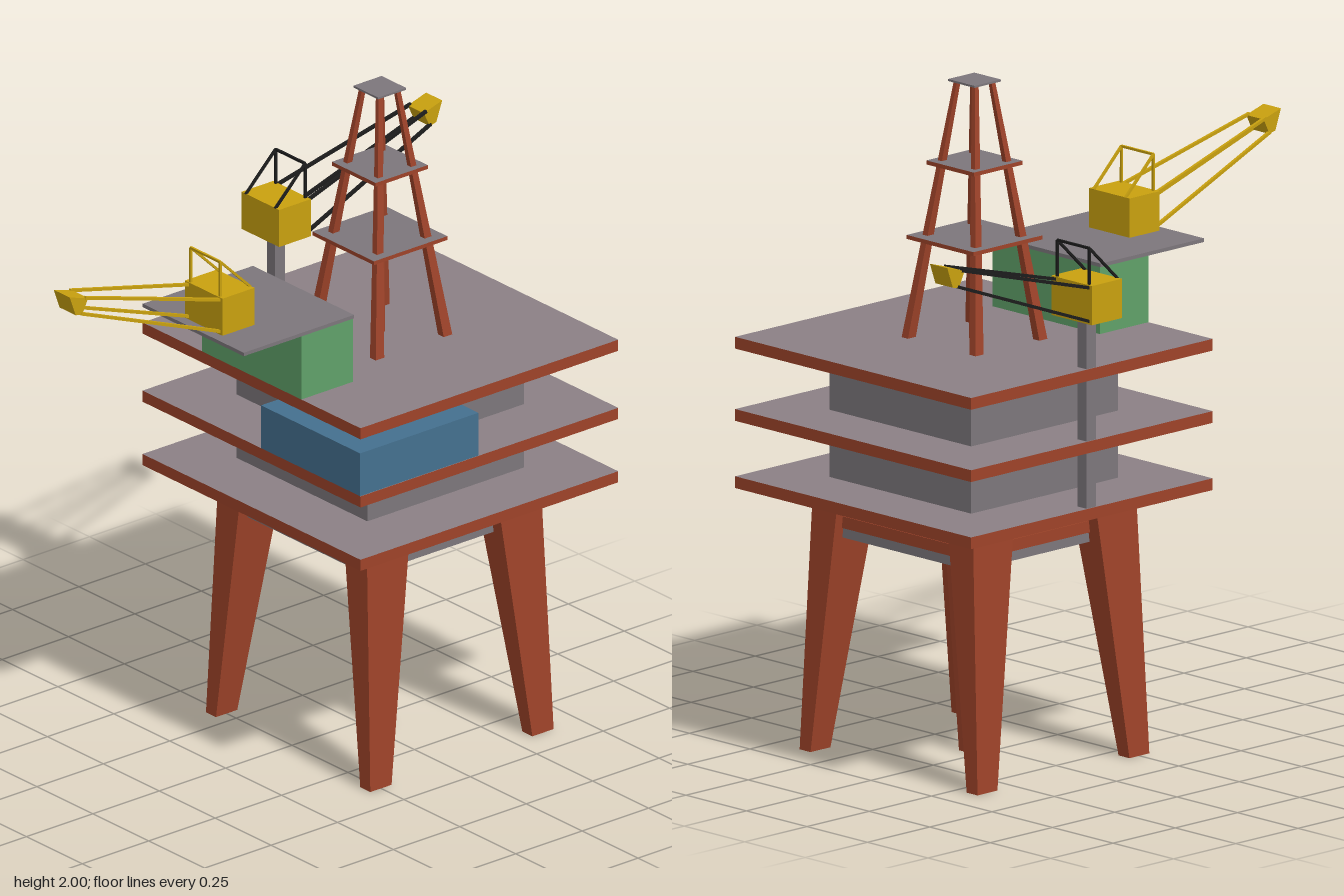
import * as THREE from 'three';

const paint = (color) => new THREE.MeshStandardMaterial({ color, flatShading: true });
const red = paint(0x9e4329), grey = paint(0x7c767b), plate = paint(0x8b8085);
const yellow = paint(0xc9a10f), black = paint(0x1c1c1c), blue = paint(0x44708f), green = paint(0x60a169);
const CX = 0.305, CZ = 0.03; // centre of the platform

function add(parent, name, geometry, material) {
  const mesh = new THREE.Mesh(geometry, material);
  mesh.name = name;
  parent.add(mesh);
  return mesh;
}

// Box given by its limits on each axis
function block(parent, name, [x0, x1], [y0, y1], [z0, z1], material) {
  const mesh = add(parent, name, new THREE.BoxGeometry(x1 - x0, y1 - y0, z1 - z0), material);
  mesh.position.set((x0 + x1) / 2, (y0 + y1) / 2, (z0 + z1) / 2);
  return mesh;
}

// Tapered, leaning leg: each end is { x, y, z, w, d }
function taper(parent, name, bottom, top, material) {
  const geometry = new THREE.BoxGeometry(1, 1, 1);
  const p = geometry.attributes.position;
  for (let i = 0; i < p.count; i++) {
    const e = p.getY(i) > 0 ? top : bottom;
    p.setXYZ(i, e.x + p.getX(i) * e.w, e.y, e.z + p.getZ(i) * e.d);
  }
  geometry.computeVertexNormals();
  return add(parent, name, geometry, material);
}

// Thin square bar between two points
function bar(parent, name, a, b, t, material) {
  const from = new THREE.Vector3(...a), to = new THREE.Vector3(...b);
  const mesh = add(parent, name, new THREE.BoxGeometry(t, t, from.distanceTo(to)), material);
  mesh.position.copy(from).lerp(to, 0.5);
  mesh.lookAt(to);
  return mesh;
}

const corners = [[-1, -1], [1, -1], [1, 1], [-1, 1]];

// Crane with its boom along +x, standing on its own origin
function crane(name, barMaterial) {
  const g = new THREE.Group();
  g.name = name;
  block(g, 'craneCab', [-0.06, 0.06], [0, 0.117], [-0.084, 0.084], yellow);
  for (const s of [-1, 1]) {
    bar(g, 'boomLowerBar', [0.055, 0.008, s * 0.07], [0.552, 0.195, s * 0.034], 0.009, barMaterial);
    bar(g, 'boomUpperBar', [0.055, 0.108, s * 0.07], [0.535, 0.24, s * 0.034], 0.009, barMaterial);
    bar(g, 'framePost', [0.053, 0.11, s * 0.066], [0.053, 0.225, s * 0.066], 0.007, barMaterial);
    bar(g, 'frameStay', [0.053, 0.225, s * 0.066], [-0.06, 0.115, s * 0.066], 0.007, barMaterial);
  }
  bar(g, 'frameTop', [0.053, 0.225, -0.066], [0.053, 0.225, 0.066], 0.007, barMaterial);
  const outline = [[0.594, 0.258], [0.525, 0.237], [0.548, 0.19], [0.572, 0.196]];
  const shape = new THREE.Shape(outline.map(([x, y]) => new THREE.Vector2(x, y)));
  const head = new THREE.ExtrudeGeometry(shape, { depth: 0.072, bevelEnabled: false });
  add(g, 'boomHead', head.translate(0, 0, -0.036), yellow);
  return g;
}

export function createModel() {
  const model = new THREE.Group();
  model.name = 'offshorePlatform';

  // Legs: four leaning corner legs and one in the middle
  for (const [sx, sz] of corners) {
    taper(model, 'cornerLeg',
      { x: CX + sx * 0.305, y: 0, z: CZ + sz * 0.345, w: 0.08, d: 0.045 },
      { x: CX + sx * 0.245, y: 0.78, z: CZ + sz * 0.278, w: 0.165, d: 0.105 }, red);
  }
  taper(model, 'centreLeg', { x: CX, y: 0, z: CZ, w: 0.047, d: 0.08 },
    { x: CX, y: 0.65, z: CZ, w: 0.1, d: 0.145 }, red);

  // Core block with a red band below the decks
  block(model, 'core', [0.01, 0.6], [0.645, 1.2], [-0.26, 0.325], grey);
  block(model, 'coreBand', [0.004, 0.606], [0.675, 0.71], [-0.266, 0.331], red);

  // Three decks with red rims
  for (const [y0, y1] of [[0.78, 0.815], [0.98, 1.015], [1.195, 1.23]]) {
    block(model, 'deck', [-0.18, 0.79], [y0, y1], [-0.455, 0.52], [red, red, plate, plate, red, red]);
  }

  // Rooms and raised pad
  block(model, 'lowerRoom', [-0.18, 0.265], [1.015, 1.15], [0.075, 0.518], blue);
  block(model, 'upperRoom', [-0.18, 0.015], [1.23, 1.43], [-0.19, 0.255], green);
  block(model, 'raisedPad', [-0.398, 0.017], [1.43, 1.441], [-0.195, 0.257], grey);

  // Derrick: four leaning legs, a mast and three platforms
  const derrick = new THREE.Group();
  derrick.name = 'derrick';
  derrick.position.set(CX, 0, CZ);
  model.add(derrick);
  for (const [sx, sz] of corners) {
    taper(derrick, 'derrickLeg',
      { x: sx * 0.128, y: 1.23, z: sz * 0.14, w: 0.032, d: 0.026 },
      { x: sx * 0.033, y: 1.995, z: sz * 0.037, w: 0.015, d: 0.013 }, red);
  }
  taper(derrick, 'derrickMast', { x: 0, y: 1.23, z: 0, w: 0.02, d: 0.024 },
    { x: 0, y: 1.995, z: 0, w: 0.011, d: 0.013 }, red);
  for (const [y, h] of [[1.53, 0.138], [1.752, 0.098]]) {
    block(derrick, 'derrickPlatform', [-h, h], [y - 0.006, y + 0.006], [-h, h],
      [red, red, grey, grey, red, red]);
  }
  block(derrick, 'derrickTop', [-0.053, 0.053], [1.994, 2], [-0.055, 0.055], grey);

  // Cranes: one on the raised pad, one on a column at the back
  const padCrane = crane('padCrane', yellow);
  padCrane.position.set(-0.308, 1.441, 0.042);
  padCrane.rotation.y = Math.PI;
  const backCrane = crane('backCrane', black);
  backCrane.position.set(0.306, 1.381, -0.434);
  model.add(padCrane, backCrane);
  block(model, 'craneColumn', [0.286, 0.323], [0.815, 1.385], [-0.452, -0.415], grey);

  return model;
}
